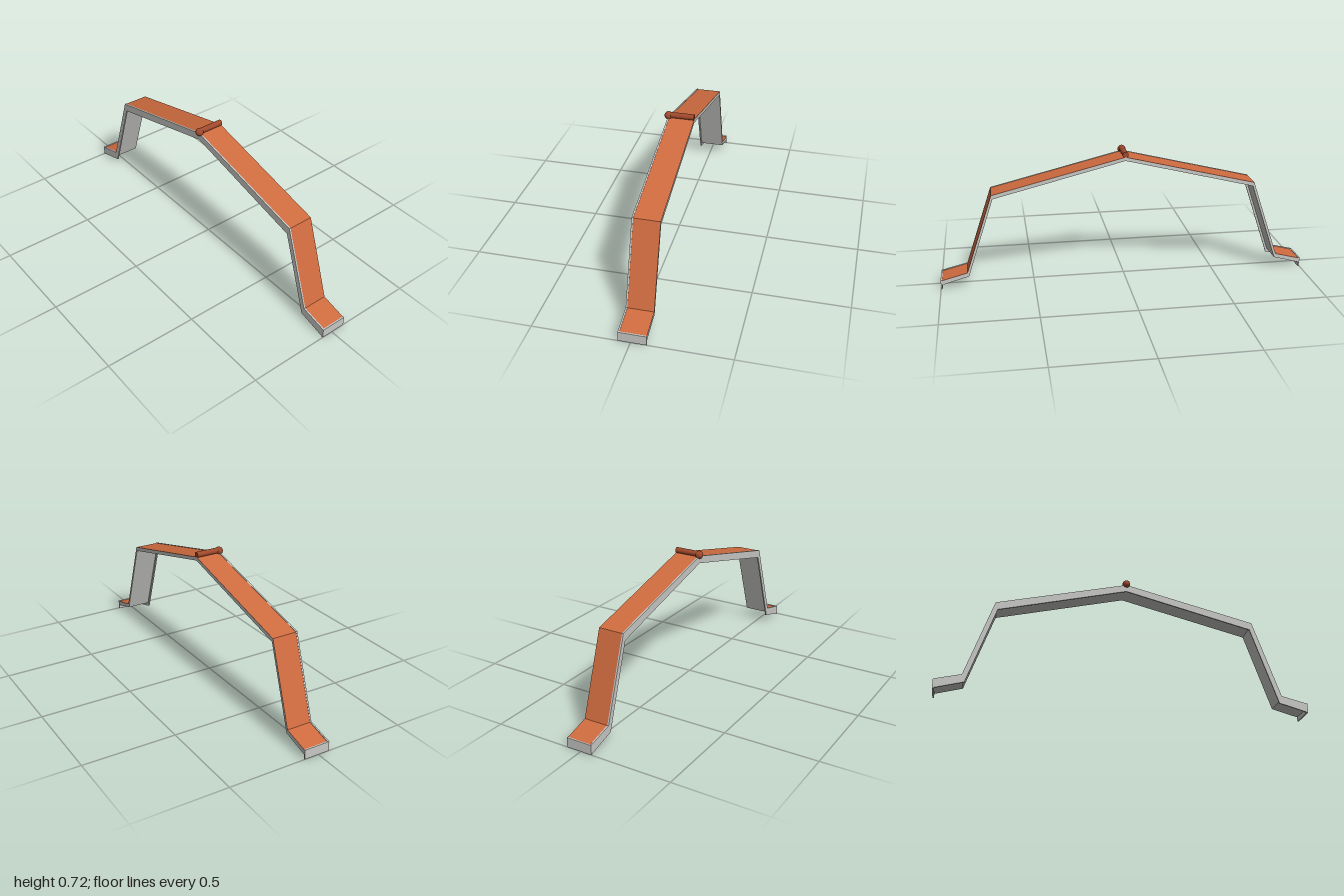
import * as THREE from 'three';

// Half of the roof section as [z, y], from ridge to eave
const OUTER = [[0, 0.69], [0.712, 0.515], [0.857, 0.087], [1, 0.052]];
const INNER = [[0, 0.65], [0.698, 0.474], [0.842, 0.045], [1, 0.002]];

// Profile line lying a fraction t between the outer and inner lines, mirrored in z
function line(t, end) {
  const half = OUTER.map(([z, y], i) => new THREE.Vector2(
    Math.min(end, z + (INNER[i][0] - z) * t), y + (INNER[i][1] - y) * t));
  const back = half.slice(1).reverse().map(p => new THREE.Vector2(-p.x, p.y));
  return [...back, ...half];
}

// Bent strip between two fractions of the section, running from x0 to x1
function strip(t0, t1, x0, x1, end = 1) {
  const shape = new THREE.Shape([...line(t0, end), ...line(t1, end).reverse()]);
  const g = new THREE.ExtrudeGeometry(shape, { depth: x1 - x0, bevelEnabled: false });
  return g.rotateY(-Math.PI / 2).translate(x1, 0, 0);
}

export function createModel() {
  const group = new THREE.Group();
  const material = (name, color) => {
    const m = new THREE.MeshStandardMaterial({ color });
    m.name = name;
    return m;
  };
  const orange = material('roof orange', 0xd06c40);
  const grey = material('trim grey', 0xc8c8c6);
  const brown = material('ridge brown', 0xa0492c);
  const add = (name, geometry, mat, x = 0, y = 0, z = 0) => {
    const mesh = new THREE.Mesh(geometry, mat);
    mesh.name = name;
    mesh.position.set(x, y, z);
    group.add(mesh);
  };

  // Roof slab with its thin coloured covering
  add('roofCovering', strip(0.05, 0.08, -0.0545, 0.08, 0.992), orange);
  add('roofSlab', strip(0.08, 0.55, -0.0545, 0.08, 0.992), grey);

  // Barge board along the gable edge
  add('bargeBoard', strip(0, 1, -0.0625, -0.0545), grey);

  // Eave boards closing both ends
  for (const s of [1, -1]) {
    add(s > 0 ? 'frontEaveBoard' : 'backEaveBoard',
      new THREE.BoxGeometry(0.1425, 0.052, 0.008), grey, 0.00875, 0.026, s * 0.996);
  }

  // Ridge roll with a ball at the gable end
  add('ridgeRoll', new THREE.CylinderGeometry(0.0155, 0.0155, 0.14, 24).rotateZ(Math.PI / 2),
    brown, 0.01, 0.7, 0);
  add('ridgeBall', new THREE.SphereGeometry(0.0215, 24, 16), brown, -0.0595, 0.6965, 0);

  return group;
}
